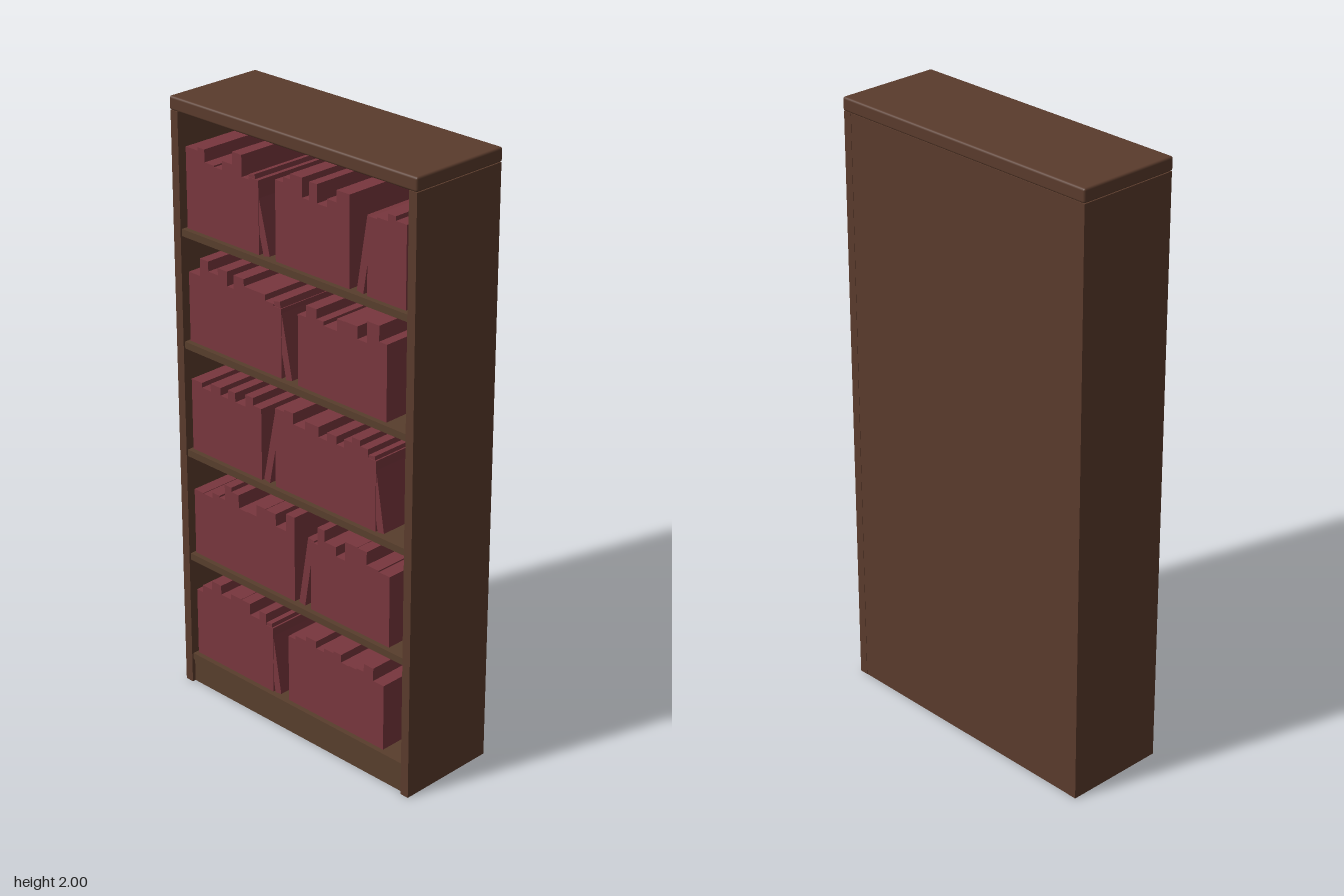
import * as THREE from 'three';
import { RoundedBoxGeometry } from 'three/addons/geometries/RoundedBoxGeometry.js';

const wood = new THREE.MeshStandardMaterial({ color: 0x5a3b2c });
wood.name = 'brown wood';
const innerWood = new THREE.MeshStandardMaterial({ color: 0x583e2c });
innerWood.name = 'inner wood';
const cover = new THREE.MeshStandardMaterial({ color: 0x78363d });
cover.name = 'dark red cover';

const BOOK_FRONT = 0.15, BOOK_DEPTH = 0.28, LEAN_HEIGHT = 0.24, LEAN_THICKNESS = 0.026;

// Shelves from the bottom up: upright runs [from x, to x] and leaning books [foot x, top x]
const SHELVES = [
  { runs: [[-0.46, -0.11], [-0.04, 0.37]], leaning: [[-0.09, -0.13]] },
  { runs: [[-0.46, -0.01], [0.06, 0.39]], leaning: [[0.02, 0.06]] },
  { runs: [[-0.46, -0.15], [-0.09, 0.33]], leaning: [[-0.13, -0.08], [0.35, 0.31]] },
  { runs: [[-0.46, -0.06], [0.01, 0.37]], leaning: [[-0.03, -0.08]] },
  { runs: [[-0.46, -0.15], [-0.08, 0.22], [0.29, 0.44]], leaning: [[-0.12, -0.18], [0.26, 0.3]] },
];

// Small seeded generator for the varied book sizes
function seeded(seed) {
  let state = seed;
  return () => {
    state = (state * 16807) % 2147483647;
    return state / 2147483647;
  };
}

function addBox(parent, name, w, h, d, x, y, z, material) {
  const mesh = new THREE.Mesh(new THREE.BoxGeometry(w, h, d), material);
  mesh.name = name;
  mesh.position.set(x, y, z);
  parent.add(mesh);
  return mesh;
}

// Fills a stretch of shelf with upright books, mostly of middling height and a few tall
function addRun(books, from, to, random) {
  const count = Math.round((to - from) / 0.039);
  const weights = Array.from({ length: count }, () => 0.7 + 0.7 * random());
  const total = weights.reduce((sum, weight) => sum + weight, 0);
  let x = from;
  for (const weight of weights) {
    const w = (to - from) * weight / total;
    const h = 0.225 + 0.07 * random() ** 1.8;
    addBox(books, 'book', w, h, BOOK_DEPTH, x + w / 2, h / 2, 0, cover);
    x += w;
  }
}

// Tilts a book from its foot towards its top, resting on its lower corner
function addLeaningBook(books, foot, tip) {
  const angle = Math.atan2(foot - tip, LEAN_HEIGHT);
  const lift = LEAN_THICKNESS / 2 * Math.abs(Math.sin(angle));
  const length = Math.hypot(foot - tip, LEAN_HEIGHT);
  const book = addBox(books, 'leaningBook', LEAN_THICKNESS, length, BOOK_DEPTH - 0.004,
    (foot + tip) / 2, LEAN_HEIGHT / 2 + lift, 0, cover);
  book.rotation.z = angle;
}

export function createModel() {
  const model = new THREE.Group();
  model.name = 'bookcase';
  const random = seeded(4711);

  // Carcass: sides, back and top
  for (const s of [-1, 1]) {
    addBox(model, s > 0 ? 'leftSide' : 'rightSide', 0.03, 1.955, 0.346, s * 0.482, 0.9775, 0, wood);
  }
  addBox(model, 'back', 0.936, 1.955, 0.012, 0, 0.9775, -0.166, wood);
  addBox(model, 'backLining', 0.936, 1.955, 0.008, 0, 0.9775, -0.156, innerWood);
  const top = new THREE.Mesh(new RoundedBoxGeometry(0.998, 0.044, 0.352, 2, 0.007), wood);
  top.name = 'top';
  top.position.y = 1.978;
  model.add(top);

  // Plinth under the lowest shelf
  addBox(model, 'plinth', 0.936, 0.08, 0.313, 0, 0.04, 0.0045, innerWood);

  // Shelves with their books
  SHELVES.forEach(({ runs, leaning }, i) => {
    const y = 0.105 + i * 0.37;
    addBox(model, 'shelf', 0.936, 0.023, 0.319, 0, y - 0.0115, 0.0075, innerWood);
    const books = new THREE.Group();
    books.name = 'books';
    books.position.set(0, y, BOOK_FRONT - BOOK_DEPTH / 2);
    model.add(books);
    for (const [from, to] of runs) addRun(books, from, to, random);
    for (const [foot, tip] of leaning) addLeaningBook(books, foot, tip);
  });
  return model;
}
